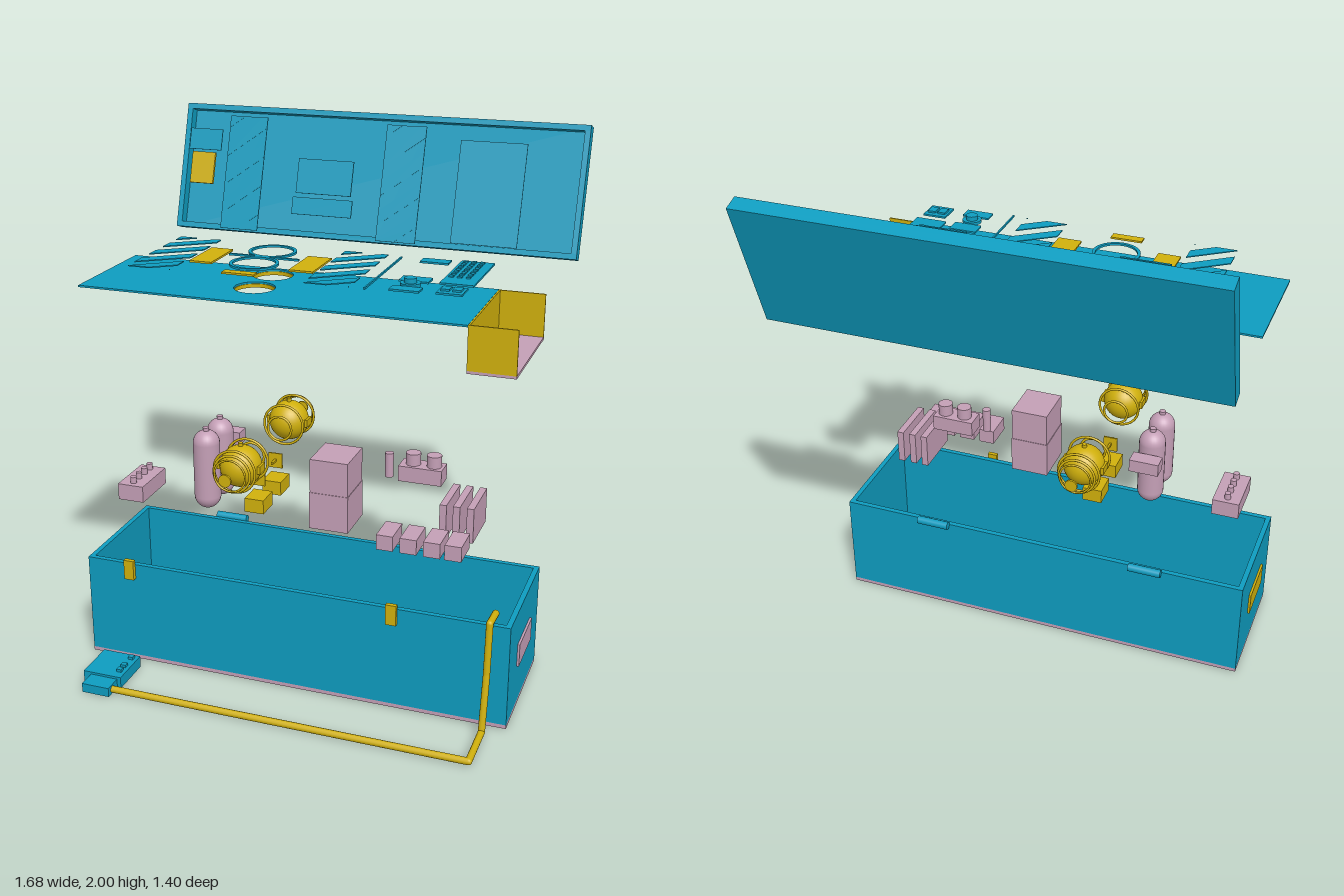
import * as THREE from 'three';

const mat = (name, color) => {
  const m = new THREE.MeshStandardMaterial({ color });
  m.name = name;
  return m;
};

export function createModel() {
  const teal = mat('teal', 0x0e9cbf);
  const yellow = mat('yellow', 0xd0b00c);
  const pink = mat('dusty pink', 0xc49fb6);
  const model = new THREE.Group();
  model.name = 'explodedCase';

  const group = (name, parent = model) => {
    const g = new THREE.Group();
    g.name = name;
    parent.add(g);
    return g;
  };
  const add = (parent, name, geo, m, x = 0, y = 0, z = 0) => {
    const mesh = new THREE.Mesh(geo, m);
    mesh.name = name;
    mesh.position.set(x, y, z);
    parent.add(mesh);
    return mesh;
  };
  // Box given by its extents on each axis
  const box = (parent, name, m, x0, x1, y0, y1, z0, z1) =>
    add(parent, name, new THREE.BoxGeometry(x1 - x0, y1 - y0, z1 - z0), m, (x0 + x1) / 2, (y0 + y1) / 2, (z0 + z1) / 2);
  const cyl = (parent, name, m, r, x, y0, y1, z) =>
    add(parent, name, new THREE.CylinderGeometry(r, r, y1 - y0, 24), m, x, (y0 + y1) / 2, z);
  // Flat sheet lying in the xz plane, shape drawn as (x, -z)
  const sheet = (parent, name, m, shape, y, depth) => {
    const geo = new THREE.ExtrudeGeometry(shape, { depth, bevelEnabled: false, curveSegments: 32 });
    geo.rotateX(-Math.PI / 2);
    return add(parent, name, geo, m, 0, y, 0);
  };
  const poly = (pts) => new THREE.Shape(pts.map(([x, z]) => new THREE.Vector2(x, -z)));
  const circle = (Type, r, x, z) => new Type().absarc(x, -z, r, 0, Math.PI * 2);
  const ringShape = (r, inner, x, z) => {
    const s = circle(THREE.Shape, r, x, z);
    s.holes.push(circle(THREE.Path, inner, x, z));
    return s;
  };

  // Open case with a pink base
  const body = group('case');
  box(body, 'base', pink, -0.83, 0.83, 0, 0.015, -0.09, 0.41);
  box(body, 'frontWall', teal, -0.83, 0.83, 0.015, 0.41, 0.39, 0.41);
  box(body, 'backWall', teal, -0.83, 0.83, 0.015, 0.41, -0.09, -0.07);
  for (const s of [-1, 1]) {
    add(body, 'sideWall', new THREE.BoxGeometry(0.02, 0.395, 0.46), teal, s * 0.82, 0.2125, 0.16);
    add(body, 'sidePlate', new THREE.BoxGeometry(0.009, 0.09, 0.21), s > 0 ? pink : yellow, s * 0.834, 0.225, 0.165);
    const hinge = add(body, 'hinge', new THREE.CylinderGeometry(0.016, 0.016, 0.13, 16), teal, s * 0.445, 0.412, -0.104);
    hinge.rotation.z = Math.PI / 2;
  }
  for (const x of [-0.65, 0.395]) box(body, 'latch', yellow, x - 0.02, x + 0.02, 0.35, 0.43, 0.41, 0.427);

  // Hose and foot pedal
  const pedal = group('footPedal');
  const path = new THREE.CurvePath();
  const pts = [[0.757, 0.417, 0.33], [0.757, 0.425, 0.425], [0.757, 0.23, 0.44], [0.757, 0.017, 0.482],
    [0.757, 0.017, 0.67], [-0.63, 0.017, 0.67]].map((p) => new THREE.Vector3(...p));
  pts.slice(1).forEach((p, i) => path.add(new THREE.LineCurve3(pts[i], p)));
  path.curves.forEach((c, i) => {
    add(pedal, 'hose', new THREE.TubeGeometry(c, 1, 0.013, 12), yellow);
    if (i) add(pedal, 'hoseElbow', new THREE.SphereGeometry(0.013, 12, 8), yellow, ...c.v1.toArray());
  });
  box(pedal, 'pedalBody', teal, -0.755, -0.6, 0, 0.045, 0.465, 0.63);
  box(pedal, 'pedalToe', teal, -0.725, -0.615, 0, 0.036, 0.63, 0.7);
  for (const z of [0.49, 0.55, 0.585]) box(pedal, 'pedalButton', teal, -0.635, -0.615, 0.045, 0.056, z - 0.01, z + 0.01);

  // Diagonal stripes clipped to a rectangle, returned as outlines in (x, z)
  const stripes = (x0, x1, z0, z1) => {
    const rise = 0.12;
    const out = [];
    for (let z = z0 - 0.01; z < z1 + rise; z += 0.115) {
      const a = [[x0, z], [x1, z - rise], [x1, z - rise + 0.058], [x0, z + 0.058]];
      let p = a;
      for (const [lim, sign] of [[z0, 1], [z1, -1]]) {
        const q = [];
        p.forEach((c, i) => {
          const n = p[(i + 1) % p.length];
          const dc = (c[1] - lim) * sign, dn = (n[1] - lim) * sign;
          if (dc >= 0) q.push(c);
          if (dc * dn < 0) q.push([c[0] + (n[0] - c[0]) * dc / (dc - dn), lim]);
        });
        p = q;
      }
      if (p.length > 2) out.push(p);
    }
    return out;
  };

  // Tilted lid: a shallow tray facing forward, with floating panels
  const lid = group('lid');
  lid.position.set(0, 1.746, -0.59);
  lid.rotation.x = -0.318;
  box(lid, 'lidBack', teal, -0.83, 0.83, -0.2535, 0.2535, -0.03, -0.013);
  for (const s of [-1, 1]) {
    add(lid, 'lidRim', new THREE.BoxGeometry(1.66, 0.022, 0.043), teal, 0, s * 0.2425, 0.0085);
    add(lid, 'lidSide', new THREE.BoxGeometry(0.022, 0.463, 0.043), teal, s * 0.819, 0, 0.0085);
  }
  const W = 0.085;
  const lidPlate = (name, m, x0, x1, y0, y1, t = 0.004) =>
    box(lid, name, m, x0, x1, (y0 - 1.7725) / 0.95, (y1 - 1.7725) / 0.95, W - 0.002, W - 0.002 + t);
  for (const x of [-0.61, 0.05]) {
    lidPlate('stripedPanel', teal, x, x + 0.16, 1.535, 1.965);
    const g = group('lidStripes', lid);
    g.rotation.x = Math.PI / 2;
    g.position.z = W + 0.002;
    for (const p of stripes(x, x + 0.16, -0.203, 0.25)) sheet(g, 'lidStripe', teal, poly(p), 0, 0.001);
  }
  lidPlate('upperScreen', teal, -0.3, -0.07, 1.69, 1.82, 0.006);
  lidPlate('lowerScreen', teal, -0.31, -0.06, 1.61, 1.675, 0.006);
  lidPlate('largePanel', teal, 0.35, 0.61, 1.55, 1.925);
  lidPlate('smallPanel', teal, -0.78, -0.64, 1.83, 1.91);
  lidPlate('yellowBlock', yellow, -0.76, -0.66, 1.7, 1.82, 0.012);

  // Deck with two round openings
  const deck = group('deck');
  const deckShape = poly([[-0.81, -0.065], [0.63, -0.065], [0.63, 0.39], [-0.81, 0.39]]);
  const ports = [0.025, 0.205];
  for (const z of ports) {
    deckShape.holes.push(circle(THREE.Path, 0.075, -0.2, z));
    sheet(deck, 'lowerRing', yellow, ringShape(0.084, 0.072, -0.2, z), 1.472, 0.014);
    sheet(deck, 'upperRing', teal, ringShape(0.089, 0.077, -0.2, z), 1.577, 0.008);
  }
  sheet(deck, 'deckPlate', teal, deckShape, 1.486, 0.007);

  // Pieces floating above the deck
  const trim = group('deckTrim');
  const pad = (name, m, x0, x1, z0, z1, y0 = 1.578, y1 = 1.585) => box(trim, name, m, x0, x1, y0, y1, z0, z1);
  for (const x of [-0.612, 0.05]) {
    for (const p of stripes(x, x + 0.165, -0.068, 0.38)) sheet(trim, 'deckStripe', teal, poly(p), 1.579, 0.004);
  }
  pad('yellowPad', yellow, -0.43, -0.345, 0.055, 0.255);
  pad('yellowPad', yellow, -0.05, 0.04, 0.055, 0.255);
  pad('yellowTab', yellow, -0.26, -0.14, 0.325, 0.36);
  pad('crossBar', teal, -0.335, -0.065, 0.105, 0.117);
  pad('divider', teal, 0.267, 0.273, -0.05, 0.385);
  for (const [a, b] of [[-0.06, -0.01], [0.19, 0.25], [0.32, 0.37]]) pad('switchPlate', teal, 0.35, 0.455, a, b);
  cyl(trim, 'dial', teal, 0.036, 0.402, 1.578, 1.59, 0.285);
  cyl(trim, 'dialKnob', teal, 0.022, 0.402, 1.59, 1.607, 0.285);
  pad('keyPanel', teal, 0.49, 0.61, -0.07, 0.24);
  pad('togglePanel', teal, 0.51, 0.6, 0.275, 0.36);
  for (const x of [0.535, 0.575]) pad('toggle', teal, x - 0.015, x + 0.015, 0.295, 0.335, 1.585, 1.592);
  for (let r = 0; r < 7; r++) {
    for (const x of [0.51, 0.54, 0.57]) {
      const z = -0.05 + r * 0.034;
      pad('key', teal, x - 0.008, x + 0.008, z - 0.008, z + 0.008, 1.585, 1.59);
    }
  }

  // Open-sided storage bin
  const bin = group('storageBin');
  box(bin, 'binFloor', pink, 0.63, 0.8, 1.323, 1.333, -0.065, 0.385);
  box(bin, 'binInnerWall', yellow, 0.63, 0.636, 1.333, 1.492, -0.059, 0.379);
  box(bin, 'binBackWall', yellow, 0.63, 0.8, 1.333, 1.492, -0.065, -0.059);
  box(bin, 'binFrontWall', yellow, 0.63, 0.8, 1.333, 1.492, 0.379, 0.385);

  // Two spheres with stacked rings facing away from each other
  for (const [z, s] of [[0.365, 1], [-0.125, -1]]) {
    const unit = group('ringedSphere');
    unit.position.set(-0.2, 0.865, z);
    unit.rotation.y = s > 0 ? 0 : Math.PI;
    add(unit, 'sphere', new THREE.SphereGeometry(0.078, 32, 20), yellow);
    cyl(unit, 'topPin', yellow, 0.009, 0, 0.07, 0.09, 0);
    for (const [r, d, t] of [[0.08, 0.062, 0.005], [0.07, 0.086, 0.005], [0.06, 0.105, 0.004],
      [0.08, -0.062, 0.005], [0.048, -0.105, 0.005]]) {
      add(unit, 'ring', new THREE.TorusGeometry(r, t, 8, 40), yellow, 0, 0, d);
    }
    const cap = add(unit, 'cap', new THREE.CylinderGeometry(0.024, 0.024, 0.008, 24), yellow, 0, 0, 0.148);
    cap.rotation.x = Math.PI / 2;
    for (const side of [-1, 1]) add(unit, 'sideTab', new THREE.BoxGeometry(0.014, 0.03, 0.05), yellow, side * 0.077, 0, 0);
  }

  // Blocks and brackets below the openings
  for (const z of ports) {
    const g = group('portDrive');
    box(g, 'driveBlock', yellow, -0.238, -0.162, 0.625, 0.68, z - 0.047, z + 0.047);
    box(g, 'bracket', yellow, -0.228, -0.172, 0.72, 0.78, z - 0.003, z + 0.003);
    box(g, 'bracketBar', yellow, -0.204, -0.196, 0.746, 0.756, z - 0.04, z + 0.04);
  }

  // Pink internal components
  const parts = group('components');
  for (const z of [0.095, 0.225]) {
    add(parts, 'tank', new THREE.CapsuleGeometry(0.051, 0.213, 10, 24), pink, -0.4, 0.7675, z);
    cyl(parts, 'tankValve', pink, 0.012, -0.4, 0.91, 0.936, z);
  }
  box(parts, 'regulator', pink, -0.457, -0.343, 0.8, 0.85, -0.02, 0.04);
  box(parts, 'controlBox', pink, -0.755, -0.65, 0.61, 0.675, 0.08, 0.28);
  for (const z of [0.11, 0.157, 0.203, 0.25]) cyl(parts, 'controlKnob', pink, 0.012, -0.703, 0.675, 0.7, z);
  box(parts, 'lowerCabinet', pink, 0.03, 0.18, 0.61, 0.754, 0.1, 0.275);
  box(parts, 'upperCabinet', pink, 0.032, 0.178, 0.754, 0.885, 0.102, 0.273);
  cyl(parts, 'canister', pink, 0.016, 0.28, 0.78, 0.875, 0.09);
  box(parts, 'pumpBase', pink, 0.32, 0.485, 0.775, 0.835, 0.03, 0.11);
  for (const x of [0.367, 0.447]) cyl(parts, 'pumpHead', pink, 0.028, x, 0.835, 0.88, 0.07);
  for (const x of [0.347, 0.435, 0.522, 0.6]) box(parts, 'module', pink, x - 0.031, x + 0.031, 0.61, 0.668, 0.24, 0.36);
  for (const x of [0.518, 0.568, 0.62]) box(parts, 'circuitBoard', pink, x - 0.013, x + 0.013, 0.61, 0.745, 0, 0.2);

  return model;
}
